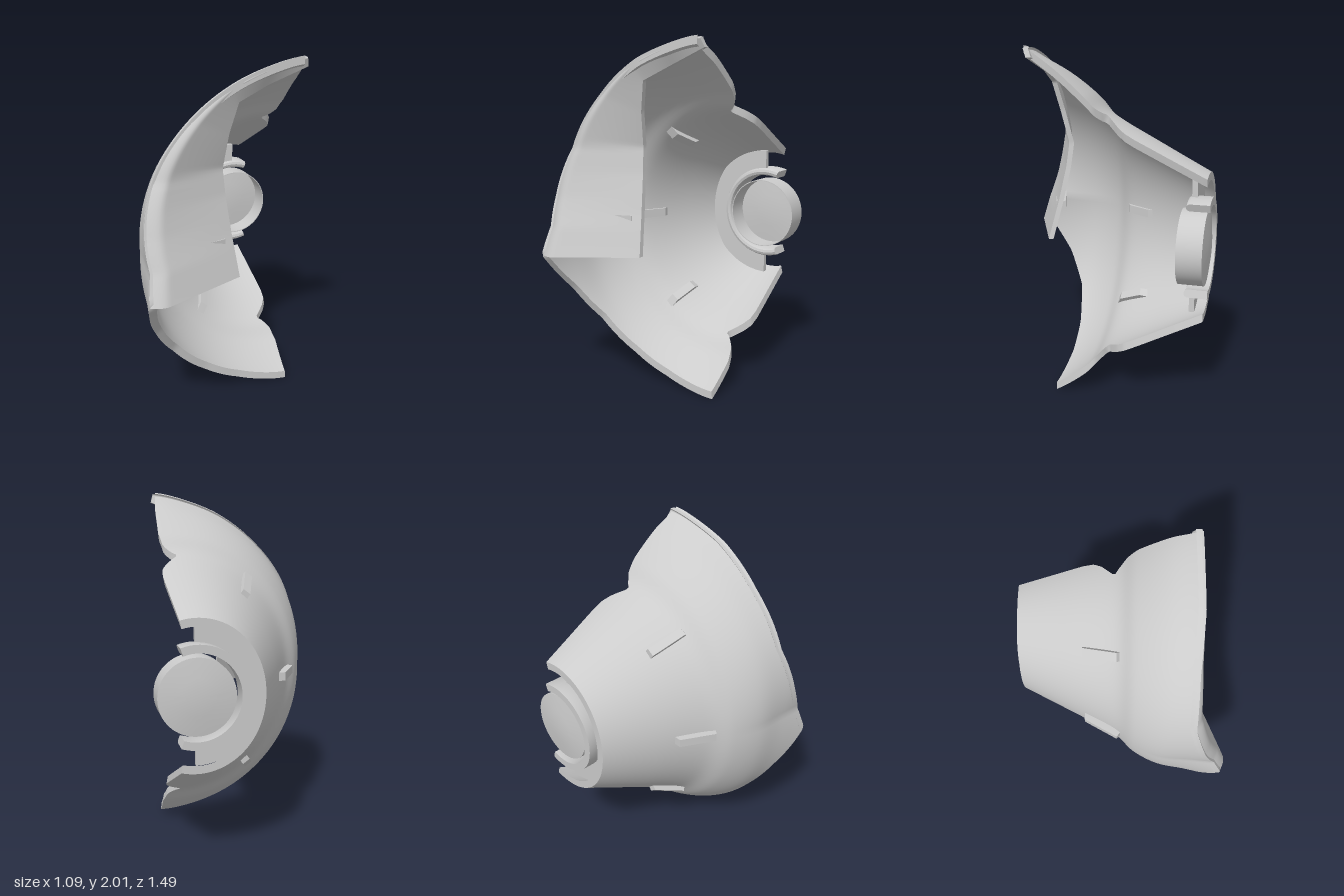
import * as THREE from 'three';
import { mergeGeometries, toCreasedNormals } from 'three/addons/utils/BufferGeometryUtils.js';

const RAD = Math.PI / 180;
const THICK = 0.045;
const material = new THREE.MeshStandardMaterial({ color: 0xcccccc, side: THREE.DoubleSide });

// Linear interpolation through [key, value...] rows; k picks the value column
function interp(rows, x, k = 1) {
  let i = 1;
  while (i < rows.length - 1 && x > rows[i][0]) i++;
  const a = rows[i - 1], b = rows[i];
  const t = THREE.MathUtils.clamp((x - a[0]) / (b[0] - a[0]), 0, 1);
  return a[k] + (b[k] - a[k]) * t;
}

// Rows for interp from a smooth curve through a few points
const smooth = (points, n) => new THREE.SplineCurve(points.map(p => new THREE.Vector2(...p)))
  .getPoints(n).map(p => [p.x, p.y]);

// Radius along the axis, and how strongly the rim flares by angle from the middle
const base = smooth([[0, 0.37], [0.28, 0.51], [0.55, 0.65], [0.67, 0.755], [0.82, 0.82], [1, 0.835], [1.25, 0.855]], 60);
const flare = smooth([[0, 0], [30, 0.33], [53, 0.48], [70, 0.62], [82, 0.77], [93, 1], [100, 1.1]], 50);
// Axial reach of the rim by angle, in degrees above the middle
const rim = [[-96, 0.855], [-75, 0.845], [-60, 0.86], [-42, 0.91], [-27, 1.02], [-11, 1.2], [0, 1.14], [11, 1.08], [30, 1.0], [53, 0.995], [73, 1.01], [96, 0.995]];
// Wavy broken edge along each side, with a notch
const edge = [[0, -0.09], [0.38, -0.112], [0.44, -0.106], [0.485, -0.076], [0.555, 0], [0.575, -0.03], [0.62, -0.075], [0.68, -0.09], [0.86, -0.08], [1, -0.058]];
// Inner edge of the flange: angle, axial, up, outward
const lip = [[-11, 1.016, -0.14, 0.3], [6, 0.953, 0.11, 0.33], [20, 0.91, 0.31, 0.35], [33, 0.89, 0.46, 0.36], [53, 0.935, 0.66, 0.34],
  [70, 0.97, 0.83, 0.3], [83, 0.955, 0.91, 0.13], [94, 0.975, 1.0, -0.09]];

function radius(s, deg) {
  const q = Math.sin(deg * RAD) ** 2;
  return interp(base, s) + q * (0.045 + 0.005 * s)
    + interp(flare, Math.abs(deg)) * (deg > 0 ? 0.71 : 0.57) * Math.max(0, s - 0.6) ** 1.5;
}
const polar = (s, r, deg) => new THREE.Vector3(s, r * Math.sin(deg * RAD), r * Math.cos(deg * RAD));

// u runs across the half turn (-1..1), v from hub to rim, t through the wall
function shellPoint(u, v, t) {
  const s = v * interp(rim, u * 95);
  const end = 90 + Math.asin(-interp(edge, s) / radius(s, Math.sign(u) * 90)) / RAD;
  const deg = u * end;
  return polar(s, radius(s, deg) - t * THICK, deg);
}

// Surface patch from a rule over u, v in 0..1
function patch(nu, nv, rule) {
  const g = new THREE.PlaneGeometry(1, 1, nu, nv);
  const { position, uv } = g.attributes;
  for (let i = 0; i < position.count; i++) {
    const p = rule(uv.getX(i), uv.getY(i));
    position.setXYZ(i, p.x, p.y, p.z);
  }
  g.computeVertexNormals();
  return g;
}

function shellGeometry() {
  const parts = [];
  for (const t of [0, 1]) parts.push(patch(96, 64, (u, v) => shellPoint(2 * u - 1, v, t)));
  for (const v of [0, 1]) parts.push(patch(96, 1, (u, t) => shellPoint(2 * u - 1, v, t)));
  for (const u of [-1, 1]) parts.push(patch(64, 1, (v, t) => shellPoint(u, v, t)));
  return mergeGeometries(parts);
}

// Flange: from the rim inwards, w across it, rolling quickly up over a rounded rim
function flangePoint(a, w, back) {
  const deg = -11 + a * 105;
  const s = interp(rim, deg) - 0.008;
  const outer = polar(s, radius(s, deg) - 0.003, deg);
  const inner = new THREE.Vector3(interp(lip, deg, 1), interp(lip, deg, 2), interp(lip, deg, 3));
  const roll = 0.055 * Math.min(1, outer.distanceTo(inner) / 0.45);
  const p = outer.lerp(inner, w);
  p.x += roll * Math.sin(Math.PI / 2 * Math.min(1, w / 0.18)) * Math.min(1, (1 - w) / 0.82) - back * 0.03;
  return p;
}

function flangeGeometry() {
  const parts = [];
  for (const b of [0, 1]) parts.push(patch(70, 30, (a, w) => flangePoint(a, w, b)));
  for (const w of [0, 1]) parts.push(patch(70, 1, (a, b) => flangePoint(a, w, b)));
  for (const a of [0, 1]) parts.push(patch(30, 1, (w, b) => flangePoint(a, w, b)));
  return mergeGeometries(parts);
}

// Turned part about the hub axis; points are [axial, radius], span is half the sweep in degrees
function turned(points, span) {
  const pts = points.map(([s, r]) => new THREE.Vector2(r, s));
  const g = new THREE.LatheGeometry(pts, 64, -span * RAD, 2 * span * RAD).rotateZ(-Math.PI / 2);
  const parts = [toCreasedNormals(g, 0.6)];
  if (span < 180) {
    const shape = new THREE.Shape(points.map(p => new THREE.Vector2(...p)));
    for (const side of [-1, 1]) {
      parts.push(new THREE.ShapeGeometry(shape).toNonIndexed().rotateX((90 - side * span) * RAD));
    }
  }
  return mergeGeometries(parts);
}

// Tapered fin that passes through the wall
function finGeometry(deg) {
  const lift = 0.03 * Math.sin(deg * RAD) ** 2;
  const pts = [[0.38, 0.6], [0.57, 0.705], [0.6, 0.67], [0.57, 0.595], [0.44, 0.525], [0.38, 0.535]];
  const shape = new THREE.Shape(pts.map(([s, r]) => new THREE.Vector2(s, r + lift)));
  return new THREE.ExtrudeGeometry(shape, { depth: 0.05, bevelEnabled: false })
    .translate(0, 0, -0.025).rotateX((90 - deg) * RAD);
}

export function createModel() {
  const model = new THREE.Group();
  model.name = 'shellFragment';
  // Local x is the hub axis, local z points out through the middle of the shell
  const body = new THREE.Group();
  body.name = 'body';
  body.position.set(-0.39, 0.94, -0.55);
  body.rotation.y = -0.4445;
  model.add(body);

  const add = (name, geometry) => {
    const mesh = new THREE.Mesh(geometry, material);
    mesh.name = name;
    body.add(mesh);
    return mesh;
  };

  add('shell', shellGeometry());
  add('frontFlange', flangeGeometry());

  // Small rib behind the flange
  const rib = add('flangeRib', new THREE.BoxGeometry(0.06, 0.05, 0.24));
  rib.position.set(0.995, 0.06, 0.5);
  rib.rotation.y = 0.3;

  // Fins at the middle and either side
  for (const deg of [-54, 0, 54]) add('fin', finGeometry(deg));

  // Hub: recessed disc, rounded collar and an open cup
  add('hubDisc', turned([[0.06, 0.265], [0.06, 0.39], [0.09, 0.39], [0.09, 0.265], [0.06, 0.265]], 90));
  add('hubCollar', turned([[-0.02, 0.235], [-0.02, 0.28], [0.09, 0.28], [0.105, 0.272], [0.11, 0.258], [0.105, 0.243], [0.09, 0.235], [-0.02, 0.235]], 109));
  add('hubCup', turned([[-0.02, 0], [-0.015, 0.1], [0, 0.21], [0.14, 0.21], [0.14, 0.205], [0.01, 0.205], [0.02, 0.1], [0.025, 0]], 180));

  return model;
}
